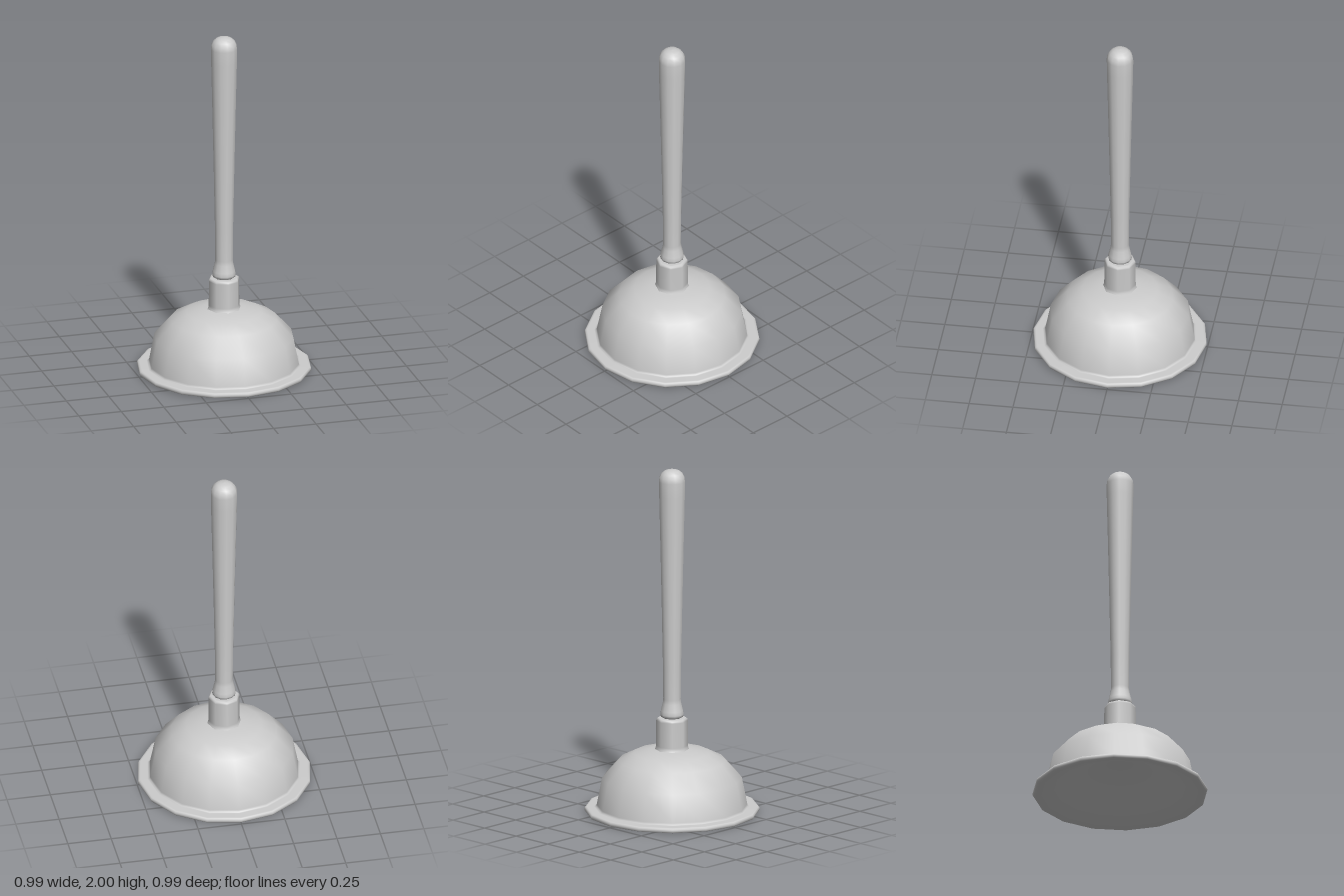
import * as THREE from 'three';

const material = new THREE.MeshStandardMaterial({ color: 0xcccccc });

// Revolve an outline of [radius, height] pairs, listed from bottom to top
function turned(name, outline, sides) {
  const points = outline.map(([r, y]) => new THREE.Vector2(r, y));
  const mesh = new THREE.Mesh(new THREE.LatheGeometry(points, sides), material);
  mesh.name = name;
  return mesh;
}

export function createModel() {
  const group = new THREE.Group();
  group.name = 'plunger';

  // Rubber cup: hollow underside, thin rim, then the domed outside
  group.add(turned('cup', [
    [0, 0.2], [0.11, 0.177], [0.22, 0.122], [0.33, 0.06], [0.42, 0.015], [0.475, 0],
    [0.49, 0.004], [0.495, 0.012], [0.495, 0.022], [0.49, 0.03], [0.48, 0.032],
    [0.44, 0.032], [0.43, 0.034], [0.425, 0.045],
    [0.395, 0.2], [0.302, 0.303], [0.215, 0.347], [0.12, 0.366], [0, 0.375],
  ], 16));

  // Eight-sided socket on top of the cup
  group.add(turned('socket', [
    [0.1, 0.362], [0.093, 0.375], [0.09, 0.39],
    [0.089, 0.535], [0.087, 0.545], [0.08, 0.551], [0.07, 0.552], [0, 0.552],
  ], 8));

  // Tapered handle with a swollen foot and a round tip
  group.add(turned('handle', [
    [0, 0.55], [0.055, 0.553], [0.065, 0.56], [0.068, 0.573], [0.064, 0.593],
    [0.054, 0.635], [0.051, 0.66], [0.053, 0.85], [0.06, 1.2], [0.069, 1.6],
    [0.075, 1.85], [0.076, 1.93], [0.072, 1.955], [0.06, 1.977], [0.042, 1.992],
    [0.022, 1.998], [0, 2],
  ], 12));

  return group;
}
